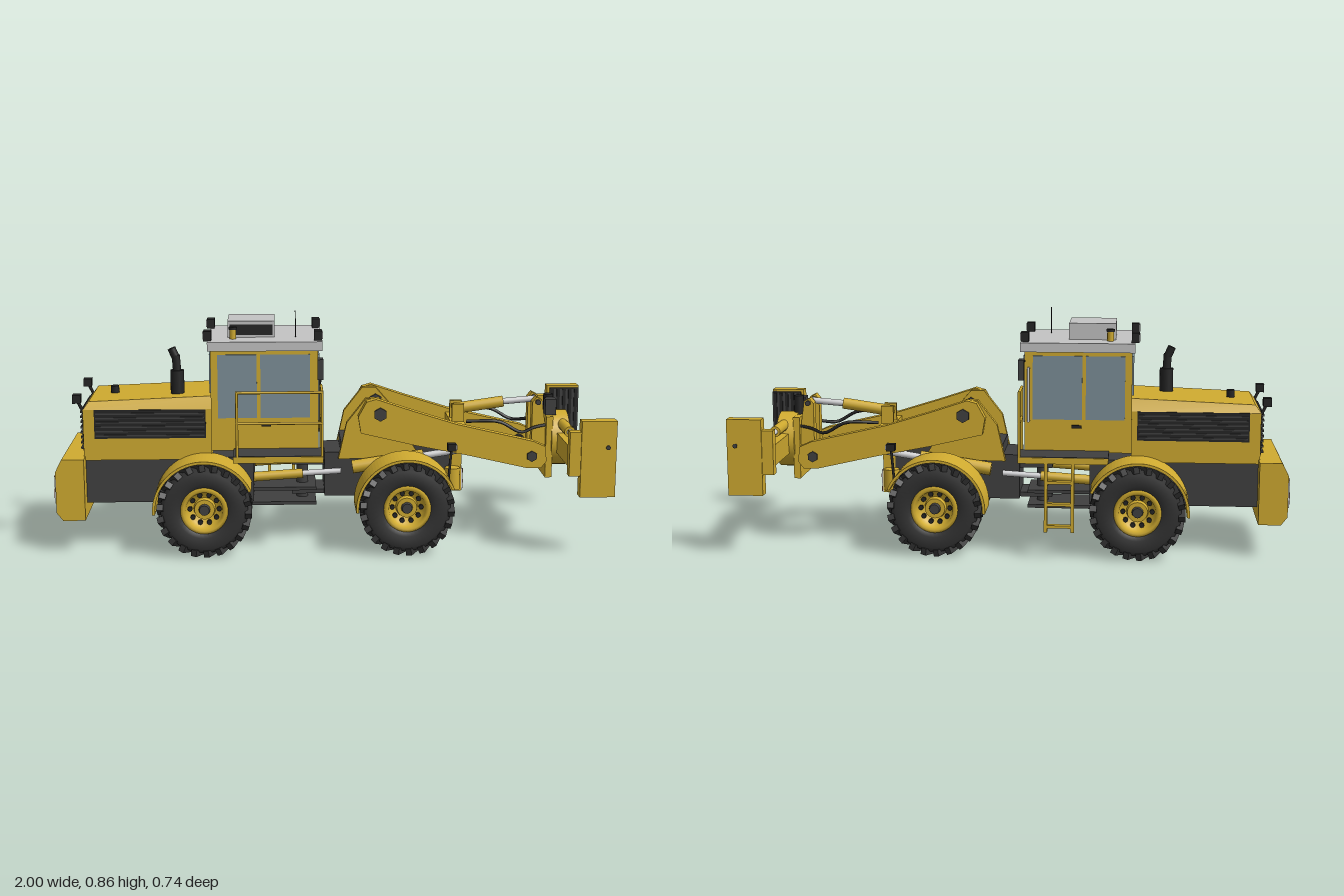
import * as THREE from 'three';
import { mergeGeometries } from 'three/addons/utils/BufferGeometryUtils.js';

const paint = (name, color, side = THREE.FrontSide) => {
  const m = new THREE.MeshStandardMaterial({ color, side });
  m.name = name;
  return m;
};

export function createModel() {
  const root = new THREE.Group();
  root.name = 'workVehicle';
  const yellow = paint('yellow', 0xd0ab30), charcoal = paint('charcoal', 0x404040), black = paint('black', 0x242424);
  const rubber = paint('rubber', 0x323232), grey = paint('roofGrey', 0xc4c4c4), steel = paint('steel', 0xd2d2d4);
  const glass = paint('glass', 0x7d9099), red = paint('red', 0xb94536, THREE.DoubleSide), white = paint('white', 0xdedede);
  const sides = [1, -1];

  const add = (name, geo, mat, parent = root) => {
    const m = new THREE.Mesh(geo, mat);
    m.name = name;
    parent.add(m);
    return m;
  };
  // box from its limits
  const box = (name, mat, x0, x1, y0, y1, z0, z1, parent = root) => {
    const m = add(name, new THREE.BoxGeometry(x1 - x0, y1 - y0, Math.abs(z1 - z0)), mat, parent);
    m.position.set((x0 + x1) / 2, (y0 + y1) / 2, (z0 + z1) / 2);
  };
  // cylinder between two points
  const rod = (name, mat, a, b, r, seg = 12, r2 = r, parent = root) => {
    const p = new THREE.Vector3(...a), q = new THREE.Vector3(...b), d = q.clone().sub(p);
    const m = add(name, new THREE.CylinderGeometry(r2, r, d.length(), seg), mat, parent);
    m.position.copy(p).lerp(q, 0.5);
    m.quaternion.setFromUnitVectors(new THREE.Vector3(0, 1, 0), d.normalize());
  };
  const outline = pts => new THREE.Shape(pts.map(p => new THREE.Vector2(...p)));
  // side profile extruded across z
  const slab = (name, mat, shape, z0, z1) => {
    const g = new THREE.ExtrudeGeometry(shape, { depth: Math.abs(z1 - z0), bevelEnabled: false, curveSegments: 20 });
    g.translate(0, 0, Math.min(z0, z1));
    add(name, g, mat);
  };
  // red and white warning plate facing along x
  const warningPlate = (x, y0, z0, W, H, slant) => {
    const g = new THREE.Group();
    g.name = 'warningPlate';
    box('plateBase', white, x - 0.003, x + 0.003, y0, y0 + H, z0 - W / 2, z0 + W / 2, g);
    const low = a => [Math.min(a, W), a - Math.min(a, W)], high = a => [a - Math.min(a, H), Math.min(a, H)];
    const step = (W + H) / 6;
    for (let i = 0; i < 3; i++) {
      const a = (2 * i + 0.5) * step, b = a + step, pts = [low(a)];
      if (a < W && W < b) pts.push([W, 0]);
      pts.push(low(b), high(b));
      if (a < H && H < b) pts.push([0, H]);
      pts.push(high(a));
      const s = add('redStripe', new THREE.ShapeGeometry(outline(pts)), red, g);
      s.rotation.y = Math.PI / 2;
      s.scale.x = slant;
      s.position.set(x + Math.sign(x) * 0.0045, y0, z0 + slant * W / 2);
    }
    root.add(g);
  };

  // wheels
  const tyreGeo = new THREE.LatheGeometry([[0.08, -0.05], [0.1, -0.062], [0.14, -0.062], [0.156, -0.05], [0.158, 0],
    [0.156, 0.05], [0.14, 0.062], [0.1, 0.062], [0.08, 0.05]].map(p => new THREE.Vector2(...p)), 40).rotateX(Math.PI / 2);
  const lugs = [];
  for (const s of sides) for (let i = 0; i < 22; i++) {
    const g = new THREE.BoxGeometry(0.024, 0.022, 0.072);
    g.rotateX(s * 0.5).translate(0.157, 0, s * 0.031).rotateZ((i + (s > 0 ? 0 : 0.5)) * Math.PI / 11);
    lugs.push(g);
  }
  const lugGeo = mergeGeometries(lugs);
  const rimGeo = new THREE.LatheGeometry([[0, -0.05], [0.08, -0.05], [0.085, 0.054], [0.074, 0.06], [0.066, 0.05],
    [0.06, 0.02], [0.035, 0.012]].map(p => new THREE.Vector2(...p)), 32).rotateX(Math.PI / 2);
  for (const x of [0.27, -0.455]) for (const s of sides) {
    const w = new THREE.Group();
    w.name = 'wheel';
    add('tyre', tyreGeo, rubber, w);
    add('treadLugs', lugGeo, rubber, w);
    add('rim', rimGeo, yellow, w);
    rod('hub', yellow, [0, 0, 0], [0, 0, 0.035], 0.042, 20, 0.036, w);
    rod('hubCap', charcoal, [0, 0, 0.03], [0, 0, 0.05], 0.022, 12, 0.018, w);
    for (let i = 0; i < 10; i++) {
      const a = i * Math.PI / 5, c = Math.cos(a) * 0.052, d = Math.sin(a) * 0.052;
      rod('rimHole', black, [c, d, 0.01], [c, d, 0.026], 0.009, 8, 0.009, w);
    }
    w.position.set(x, 0.17, s * 0.245);
    if (s < 0) w.rotation.y = Math.PI;
    root.add(w);
    // fender arc
    const arc = new THREE.Shape();
    arc.absarc(x, 0.17, 0.184, 0.42, Math.PI + 0.05, false);
    arc.absarc(x, 0.17, 0.174, Math.PI + 0.05, 0.42, true);
    slab('fender', yellow, arc, s * 0.165, s * 0.315);
  }
  // axles
  for (const x of [0.27, -0.455]) {
    rod('axle', charcoal, [x, 0.17, -0.2], [x, 0.17, 0.2], 0.045, 16);
    const d = add('differential', new THREE.SphereGeometry(0.062, 20, 14), charcoal);
    d.position.set(x, 0.175, 0);
    for (const s of sides) rod('axleFlange', charcoal, [x, 0.17, s * 0.135], [x, 0.17, s * 0.175], 0.052, 16);
  }

  // rear frame and articulation joint
  box('rearFrame', charcoal, -0.89, -0.28, 0.17, 0.335, -0.165, 0.165);
  for (const y of [0.14, 0.195, 0.335]) box('hingePlate', charcoal, -0.29, -0.05, y - 0.006, y + 0.006, -0.09, 0.09);
  for (const y of [0.18, 0.29]) box('frontHingePlate', charcoal, -0.14, 0, y - 0.008, y + 0.008, -0.07, 0.07);
  rod('hingePin', charcoal, [-0.1, 0.13, 0], [-0.1, 0.35, 0], 0.022);
  box('frontFrame', charcoal, -0.02, 0.44, 0.17, 0.335, -0.1, 0.1);
  for (const s of sides) {
    rod('steeringCylinder', yellow, [-0.28, 0.25, s * 0.12], [-0.1, 0.262, s * 0.12], 0.018);
    rod('steeringRod', steel, [-0.1, 0.262, s * 0.12], [0.04, 0.27, s * 0.12], 0.011);
  }

  // engine hood with tapered, sloping top
  box('hoodSide', yellow, -0.89, -0.43, 0.33, 0.515, -0.175, 0.175);
  const hood = new THREE.BoxGeometry(0.46, 0.04, 0.35).translate(-0.66, 0.535, 0), hp = hood.attributes.position;
  for (let i = 0; i < hp.count; i++) if (hp.getY(i) > 0.54) {
    const rear = hp.getX(i) < -0.7;
    hp.setXYZ(i, rear ? -0.87 : -0.43, rear ? 0.542 : 0.56, hp.getZ(i) * 0.89);
  }
  hood.computeVertexNormals();
  add('hoodTop', hood, yellow);
  for (const s of sides) {
    box('sideGrille', black, -0.85, -0.45, 0.41, 0.515, s * 0.172, s * 0.178);
    for (let i = 0; i < 6; i++) box('sideLouvre', charcoal, -0.845, -0.455, 0.418 + i * 0.016, 0.423 + i * 0.016, s * 0.176, s * 0.181);
    box('rearLamp', black, -0.925, -0.895, 0.54, 0.57, s * 0.165 - 0.017, s * 0.165 + 0.017);
    rod('rearLampPost', black, [-0.89, 0.51, s * 0.165], [-0.91, 0.55, s * 0.165], 0.006, 6);
  }
  box('rearGrille', black, -0.895, -0.888, 0.36, 0.515, -0.145, 0.145);
  for (let i = 0; i < 8; i++) box('rearLouvre', charcoal, -0.903, -0.89, 0.366 + i * 0.019, 0.373 + i * 0.019, -0.145, 0.145);
  rod('fillerCap', black, [-0.79, 0.54, 0], [-0.79, 0.572, 0], 0.015);
  rod('exhaustBase', black, [-0.556, 0.54, 0.064], [-0.556, 0.64, 0.064], 0.025, 16);
  rod('exhaustPipe', black, [-0.556, 0.63, 0.064], [-0.56, 0.695, 0.064], 0.015);
  rod('exhaustTip', black, [-0.56, 0.685, 0.064], [-0.575, 0.72, 0.064], 0.015);

  // counterweight
  slab('counterweight', yellow, outline([[-0.885, 0.12], [-0.885, 0.345], [-0.965, 0.345], [-0.988, 0.3], [-0.988, 0.15], [-0.965, 0.12]]), -0.23, 0.23);
  for (const s of sides) warningPlate(-0.991, 0.18, s * 0.135, 0.15, 0.1, s);
  box('hitch', steel, -1, -0.985, 0.15, 0.2, -0.02, 0.02);

  // cab
  box('cabBody', yellow, -0.43, -0.045, 0.365, 0.735, -0.188, 0.188);
  box('windshield', glass, -0.046, -0.04, 0.47, 0.712, -0.17, 0.17);
  box('rearWindow', glass, -0.436, -0.429, 0.57, 0.712, -0.155, 0.155);
  for (const s of sides) {
    box('rearSideWindow', glass, -0.405, -0.265, 0.485, 0.715, s * 0.186, s * 0.192);
    box('doorWindow', glass, -0.252, -0.075, 0.485, 0.715, s * 0.186, s * 0.192);
    box('doorHandle', black, -0.25, -0.215, 0.455, 0.465, s * 0.186, s * 0.196);
    // mirror on its bracket
    box('mirror', charcoal, -0.05, -0.03, 0.64, 0.712, s * 0.245, s * 0.289);
    rod('mirrorArm', black, [-0.045, 0.695, s * 0.185], [-0.04, 0.703, s * 0.25], 0.004, 6);
    // roof lamps and beacons
    for (const x of [-0.44, -0.045]) {
      box('roofLamp', black, x - 0.014, x + 0.014, 0.762, 0.797, s * 0.132, s * 0.176);
      const f = x < -0.2 ? -1 : 1;
      box('roofLampLens', grey, x + f * 0.015 - 0.002, x + f * 0.015 + 0.002, 0.767, 0.793, s * 0.136, s * 0.172);
    }
    rod('beacon', yellow, [-0.35, 0.76, s * 0.128], [-0.35, 0.8, s * 0.128], 0.012);
    rod('beaconCap', black, [-0.35, 0.797, s * 0.128], [-0.35, 0.806, s * 0.128], 0.015);
  }
  for (const z of [0.14, 0.01]) rod('wiper', black, [-0.036, 0.63, z], [-0.036, 0.485, z - 0.065], 0.004, 6);
  box('roof', grey, -0.44, -0.03, 0.73, 0.763, -0.208, 0.208);
  box('airUnit', grey, -0.37, -0.2, 0.76, 0.822, -0.095, 0.095);
  box('airUnitGrille', black, -0.362, -0.208, 0.772, 0.81, 0.093, 0.098);
  rod('antenna', black, [-0.125, 0.76, 0.095], [-0.125, 0.86, 0.095], 0.002, 6);
  rod('grabRail', steel, [-0.06, 0.48, -0.203], [-0.06, 0.67, -0.203], 0.005, 8);
  for (const y of [0.48, 0.67]) rod('grabRailEnd', steel, [-0.06, y, -0.185], [-0.06, y, -0.205], 0.005, 8);

  // platforms, railings and ladder
  for (const s of sides) {
    box('platform', charcoal, -0.35, -0.03, 0.35, 0.372, s * 0.185, s * 0.315);
    box('platformEdge', yellow, -0.35, -0.03, 0.348, 0.37, s * 0.313, s * 0.318);
    const post = (x, z) => rod('railPost', yellow, [x, 0.365, s * z], [x, 0.602, s * z], 0.005, 8);
    post(-0.035, 0.312);
    post(-0.035, 0.18);
    rod('railTopFront', yellow, [-0.035, 0.6, s * 0.175], [-0.035, 0.6, s * 0.315], 0.005, 8);
    rod('railMidFront', yellow, [-0.035, 0.49, s * 0.175], [-0.035, 0.49, s * 0.315], 0.005, 8);
    if (s < 0) continue;
    post(-0.335, 0.312);
    for (const y of [0.49, 0.6]) rod('railSide', yellow, [-0.34, y, s * 0.312], [-0.03, y, s * 0.312], 0.005, 8);
  }
  for (const x of [-0.225, -0.13]) box('ladderSide', yellow, x - 0.006, x + 0.006, 0.1, 0.37, -0.318, -0.298);
  for (const y of [0.12, 0.2, 0.28]) box('ladderStep', yellow, -0.225, -0.13, y - 0.005, y + 0.005, -0.318, -0.295);

  // boom tower and lift arms
  const towerShape = outline([[0.03, 0.315], [0.06, 0.45], [0.13, 0.54], [0.18, 0.54], [0.24, 0.47], [0.33, 0.32]]);
  const armShape = outline([[0.11, 0.42], [0.1, 0.48], [0.13, 0.535], [0.165, 0.545], [0.3, 0.5], [0.46, 0.45], [0.74, 0.385],
    [0.785, 0.365], [0.79, 0.31], [0.77, 0.285], [0.72, 0.285], [0.5, 0.335], [0.3, 0.375]]);
  const leverShape = outline([[0.75, 0.3], [0.75, 0.51], [0.765, 0.53], [0.785, 0.52], [0.8, 0.42], [0.83, 0.32]]);
  for (const s of sides) {
    slab('tower', yellow, towerShape, s * 0.1, s * 0.125);
    slab('liftArm', yellow, armShape, s * 0.13, s * 0.168);
    slab('tiltLever', yellow, leverShape, s * 0.03, s * 0.07);
    rod('boomPivot', charcoal, [0.18, 0.49, s * 0.09], [0.18, 0.49, s * 0.178], 0.025, 6);
    rod('tipPivot', charcoal, [0.735, 0.33, s * 0.12], [0.735, 0.33, s * 0.176], 0.02, 6);
    rod('liftCylinder', yellow, [0.08, 0.29, s * 0.145], [0.34, 0.33, s * 0.145], 0.024, 14);
    rod('liftRod', steel, [0.34, 0.33, s * 0.145], [0.5, 0.355, s * 0.145], 0.013);
    rod('frameCorner', yellow, [0.45, 0.2, s * 0.125], [0.45, 0.28, s * 0.125], 0.028, 16);
    rod('lampPost', black, [0.42, 0.26, s * 0.255], [0.43, 0.38, s * 0.255], 0.005, 6);
    box('headlamp', black, 0.415, 0.445, 0.375, 0.4, s * 0.238, s * 0.272);
    box('headlampLens', white, 0.445, 0.449, 0.379, 0.396, s * 0.24, s * 0.27);
    warningPlate(0.489, 0.187, s * 0.053, 0.085, 0.08, 1);
    const hose = new THREE.CatmullRomCurve3([[0.5, 0.45, 0.11], [0.62, 0.45, 0.125], [0.7, 0.41, 0.12], [0.76, 0.42, 0.08], [0.84, 0.43, 0.06]]
      .map(p => new THREE.Vector3(p[0], p[1], p[2] * s)));
    add('hose', new THREE.TubeGeometry(hose, 20, 0.006, 6), black);
    box('bellcrank', yellow, 0.455, 0.5, 0.38, 0.5, s * 0.028, s * 0.045);
  }
  box('frontBumper', yellow, 0.44, 0.486, 0.185, 0.335, -0.1, 0.1);
  box('towerDeck', charcoal, 0.04, 0.4, 0.33, 0.375, -0.1, 0.1);
  box('boomCrossbeam', yellow, 0.45, 0.5, 0.36, 0.435, -0.135, 0.135);
  rod('tipShaft', charcoal, [0.735, 0.33, -0.15], [0.735, 0.33, 0.15], 0.014);
  rod('tiltCylinder', yellow, [0.46, 0.475, 0], [0.65, 0.502, 0], 0.021, 16);
  rod('tiltRod', steel, [0.65, 0.502, 0], [0.77, 0.512, 0], 0.012);
  rod('tiltPin', charcoal, [0.77, 0.512, -0.08], [0.77, 0.512, 0.08], 0.01);

  // clamp attachment
  box('couplerPlate', yellow, 0.8, 0.825, 0.23, 0.46, -0.09, 0.09);
  rod('rotator', yellow, [0.82, 0.365, 0], [0.888, 0.365, 0], 0.103, 32);
  box('clampBeam', yellow, 0.84, 0.885, 0.325, 0.4, -0.31, 0.31);
  box('valveBlock', charcoal, 0.8, 0.84, 0.46, 0.52, 0.022, 0.062);
  rod('swivel', black, [0.82, 0.45, 0], [0.82, 0.53, 0], 0.018, 14);
  for (const s of sides) {
    rod('clampCylinder', yellow, [0.865, 0.427, s * 0.055], [0.865, 0.427, s * 0.205], 0.02, 16);
    rod('clampRod', steel, [0.865, 0.427, s * 0.2], [0.865, 0.427, s * 0.325], 0.011);
    rod('guideRod', steel, [0.865, 0.318, s * 0.12], [0.865, 0.318, s * 0.325], 0.008);
    box('clampArm', yellow, 0.835, 0.878, 0.3, 0.46, s * 0.32, s * 0.36);
    box('clampJaw', yellow, 0.875, 1, 0.225, 0.5, s * 0.32, s * 0.365);
    box('clampPad', charcoal, 0.885, 0.998, 0.235, 0.492, s * 0.304, s * 0.322);
    for (let i = 0; i < 5; i++) box('padRib', black, 0.888 + i * 0.023, 0.9 + i * 0.023, 0.238, 0.489, s * 0.298, s * 0.306);
    rod('jawPin', charcoal, [0.97, 0.405, s * 0.36], [0.97, 0.405, s * 0.37], 0.008);
  }
  return root;
}
